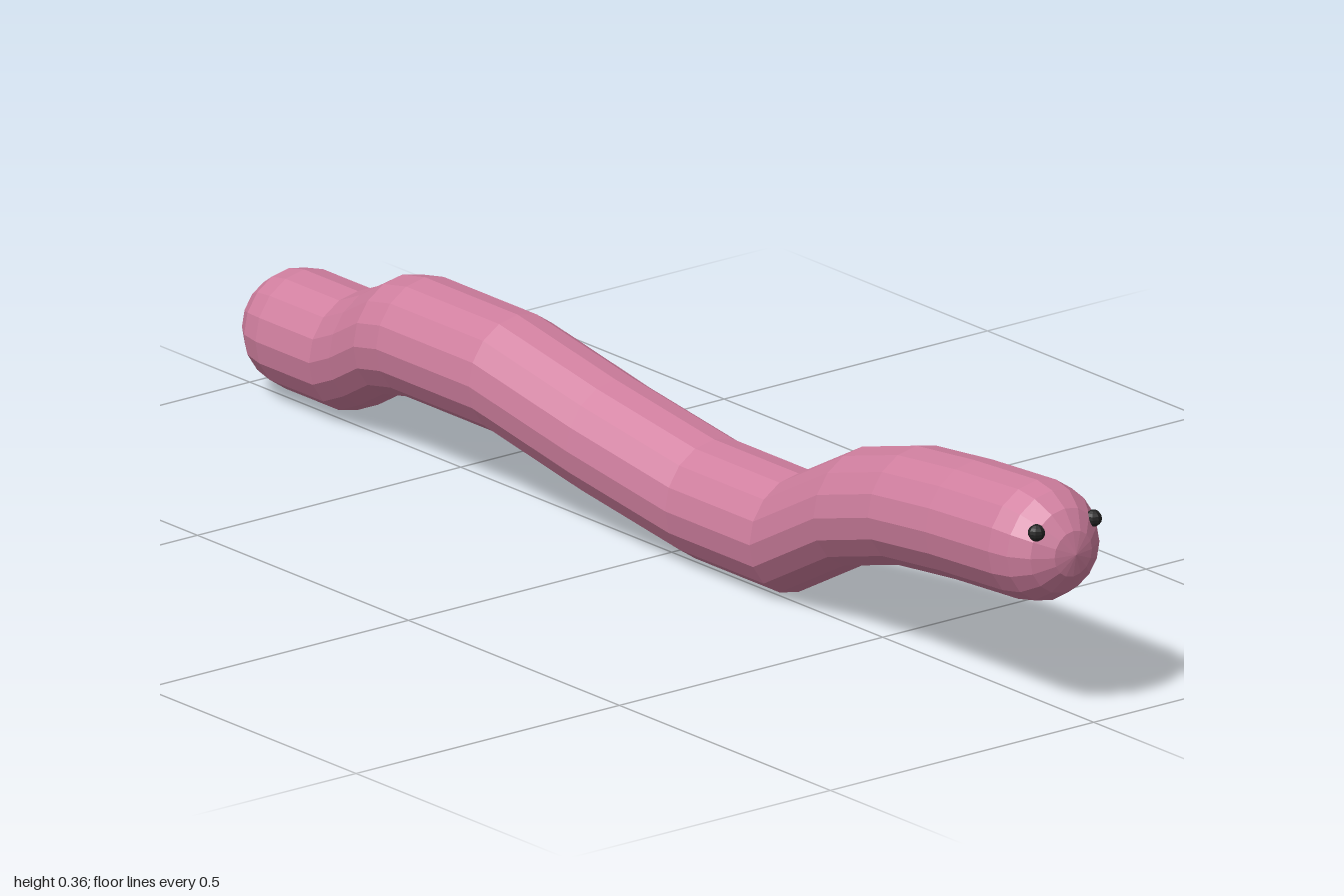
import * as THREE from 'three';

const RADIUS = 0.093, SIDES = 16;

// Centre line from head to tail: x, y, z
const PATH = [
  [-0.033, 0.272, 0.907], [-0.027, 0.26, 0.75], [-0.016, 0.24, 0.6],
  [0.001, 0.195, 0.45], [0.032, 0.096, 0.26], [0.032, 0.096, 0.06],
  [0.013, 0.138, -0.15], [-0.004, 0.187, -0.36], [-0.004, 0.187, -0.58],
  [0.001, 0.174, -0.64], [0.019, 0.131, -0.72], [0.029, 0.105, -0.78],
  [0.029, 0.105, -0.907],
];

// Upright rings joined along the centre line
function bodyGeometry() {
  const positions = [], index = [];
  PATH.forEach(([x, y, z], i) => {
    for (let j = 0; j < SIDES; j++) {
      const t = (j / SIDES) * Math.PI * 2;
      positions.push(x + Math.cos(t) * RADIUS, y + Math.sin(t) * RADIUS, z);
      if (i === PATH.length - 1) continue;
      const a = i * SIDES + j, b = i * SIDES + (j + 1) % SIDES;
      index.push(a, a + SIDES, b, b, a + SIDES, b + SIDES);
    }
  });
  const geometry = new THREE.BufferGeometry();
  geometry.setAttribute('position', new THREE.Float32BufferAttribute(positions, 3));
  geometry.setIndex(index);
  geometry.computeVertexNormals();
  return geometry;
}

export function createModel() {
  const model = new THREE.Group();
  const skin = new THREE.MeshStandardMaterial({ color: 0xd07f9f, flatShading: true });
  const black = new THREE.MeshStandardMaterial({ color: 0x222222, flatShading: true });

  const add = (name, geometry, material, position) => {
    const mesh = new THREE.Mesh(geometry, material);
    mesh.name = name;
    mesh.position.set(...position);
    model.add(mesh);
    return mesh;
  };

  add('body', bodyGeometry(), skin, [0, 0, 0]);

  // Rounded ends
  const cap = new THREE.SphereGeometry(RADIUS, SIDES, 4, 0, Math.PI * 2, 0, Math.PI / 2);
  const head = PATH[0];
  add('head', cap, skin, head).rotation.x = Math.PI / 2;
  add('tail', cap, skin, PATH[PATH.length - 1]).rotation.x = -Math.PI / 2;

  // Eyes
  const eye = new THREE.SphereGeometry(0.013, 8, 8);
  for (const side of [-1, 1]) {
    add(side > 0 ? 'leftEye' : 'rightEye', eye, black,
      [head[0] + side * 0.054, head[1] + 0.039, head[2] + 0.066]);
  }
  return model;
}
